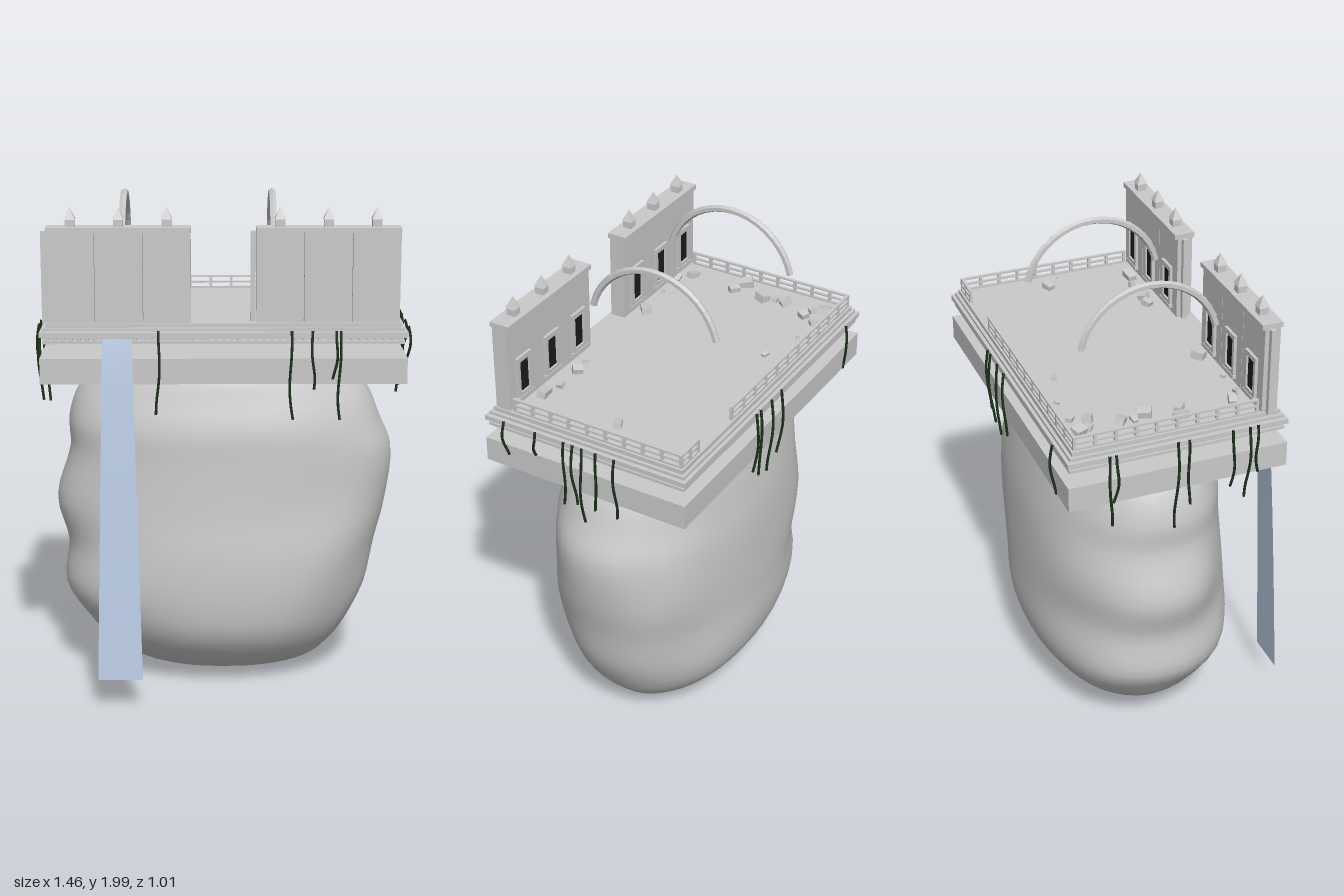
import * as THREE from 'three';

const mat = (name, color, side = THREE.FrontSide) => {
  const m = new THREE.MeshStandardMaterial({ color, side });
  m.name = name;
  return m;
};

const CZ = -0.047; // depth centre of the platform and rock

export function createModel() {
  const root = new THREE.Group();
  root.name = 'floatingTerrace';
  const stone = mat('stoneGrey', 0xcacaca);
  const dark = mat('windowDark', 0x1c1c1c);
  const green = mat('vineGreen', 0x1e331c);
  const water = mat('waterBlue', 0xbfd1ea, THREE.DoubleSide);

  const group = (name, parent = root) => {
    const g = new THREE.Group();
    g.name = name;
    parent.add(g);
    return g;
  };
  const add = (parent, name, geo, material, x = 0, y = 0, z = 0) => {
    const m = new THREE.Mesh(geo, material);
    m.name = name;
    m.position.set(x, y, z);
    parent.add(m);
    return m;
  };
  const box = (parent, name, w, h, d, x, y, z, material = stone) =>
    add(parent, name, new THREE.BoxGeometry(w, h, d), material, x, y, z);
  const faceted = geo => {
    const g = geo.toNonIndexed();
    g.computeVertexNormals();
    return g;
  };

  // Rock: stacked rounded sections through [y, left, right, back, front]
  const rows = [
    [0.008, 0, 0, 0, 0], [0.02, 0.2, 0.2, 0.1, 0.1], [0.06, 0.35, 0.36, 0.195, 0.215],
    [0.14, 0.48, 0.455, 0.285, 0.312], [0.25, 0.575, 0.53, 0.365, 0.385], [0.38, 0.655, 0.59, 0.4, 0.41],
    [0.56, 0.642, 0.627, 0.405, 0.41], [0.74, 0.685, 0.67, 0.405, 0.39], [0.95, 0.628, 0.69, 0.4, 0.377],
    [1.08, 0.63, 0.64, 0.385, 0.37], [1.2, 0.59, 0.59, 0.365, 0.335], [1.3, 0.5, 0.5, 0.335, 0.297],
    [1.35, 0.36, 0.36, 0.23, 0.21], [1.36, 0, 0, 0, 0],
  ];
  const curveX = new THREE.CatmullRomCurve3(rows.map(r => new THREE.Vector3(r[0], r[1], r[2])));
  const curveZ = new THREE.CatmullRomCurve3(rows.map(r => new THREE.Vector3(r[0], r[3], r[4])));
  const NV = 52, NU = 48, pos = [], idx = [];
  const soft = v => Math.sign(v) * Math.abs(v) ** 0.92;
  for (let i = 0; i <= NV; i++) {
    const a = curveX.getPoint(i / NV), b = curveZ.getPoint(i / NV);
    for (let j = 0; j < NU; j++) {
      const t = j / NU * Math.PI * 2, c = Math.cos(t), s = Math.sin(t);
      const bump = 1 + 0.022 * Math.sin(2 * t) ** 2 * Math.sin(a.x * 9 + t * 3) * Math.cos(t * 2 - a.x * 3);
      pos.push(soft(c) * (c > 0 ? a.z : a.y) * bump, a.x, CZ + soft(s) * (s > 0 ? b.z : b.y) * bump);
      if (i === NV) continue;
      const k = (j + 1) % NU, p = i * NU, q = p + NU;
      idx.push(p + j, q + j, p + k, q + j, q + k, p + k);
    }
  }
  const rockGeo = new THREE.BufferGeometry();
  rockGeo.setAttribute('position', new THREE.Float32BufferAttribute(pos, 3));
  rockGeo.setIndex(idx);
  rockGeo.computeVertexNormals();
  add(root, 'rock', rockGeo, stone);

  // Base slab, and the stepped terrace floor hovering above it
  box(root, 'baseSlab', 1.412, 0.1, 0.87, 0, 1.35, CZ);
  const terrace = group('terrace');
  box(terrace, 'floorBand', 1.36, 0.018, 0.82, 0, 1.524, CZ);
  box(terrace, 'upperBand', 1.385, 0.012, 0.845, 0, 1.51, CZ);
  box(terrace, 'middleBand', 1.412, 0.02, 0.87, 0, 1.491, CZ);
  box(terrace, 'lowerBand', 1.39, 0.012, 0.85, 0, 1.461, CZ);
  box(terrace, 'core', 1.34, 0.07, 0.8, 0, 1.49, CZ);
  for (let i = 0; i <= 44; i++)
    for (const s of [-1, 1]) box(terrace, 'dentil', 0.015, 0.016, 0.02, -0.68 + i * 1.36 / 44, 1.474, CZ + s * 0.408);
  for (let i = 1; i < 27; i++)
    for (const s of [-1, 1]) box(terrace, 'dentil', 0.02, 0.016, 0.015, s * 0.678, 1.474, CZ - 0.41 + i * 0.82 / 27);

  // Railings with three bars and evenly spaced posts
  const rail = (x0, z0, x1, z1) => {
    const g = group('railing');
    const w = Math.abs(x1 - x0) + 0.012, d = Math.abs(z1 - z0) + 0.012;
    for (const y of [1.537, 1.56, 1.584]) box(g, 'railBar', w, 0.008, d, (x0 + x1) / 2, y, (z0 + z1) / 2);
    const n = Math.max(2, Math.round(Math.max(w, d) / 0.085));
    for (let i = 0; i <= n; i++)
      box(g, 'railPost', 0.012, 0.055, 0.012, x0 + (x1 - x0) * i / n, 1.558, z0 + (z1 - z0) * i / n);
  };
  rail(-0.665, -0.443, 0.3, -0.443);
  rail(0.55, -0.443, 0.665, -0.443);
  for (const s of [-1, 1]) rail(s * 0.665, -0.443, s * 0.665, 0.275);

  // Front walls: three panels each, with caps, finials and inward windows
  for (const s of [-1, 1]) {
    const wall = group(s < 0 ? 'rightWall' : 'leftWall');
    box(wall, 'endPilaster', 0.02, 0.35, 0.02, s * 0.4 - 0.287, 1.705, 0.316);
    for (let i = -1; i <= 1; i++) {
      const x = s * 0.4 + i * 0.184;
      box(wall, 'panel', 0.182, 0.353, 0.062, x, 1.707, 0.321);
      box(wall, 'cap', 0.184, 0.02, 0.082, x, 1.888, 0.319);
      box(wall, 'finialBase', 0.036, 0.03, 0.036, x, 1.912, 0.318);
      const tip = add(wall, 'finialTip', faceted(new THREE.ConeGeometry(0.03, 0.045, 4)), stone, x, 1.949, 0.318);
      tip.rotation.y = Math.PI / 4;
      // Window frame, pane and sill
      for (const e of [-1, 1]) {
        box(wall, 'windowJamb', 0.016, 0.17, 0.012, x + e * 0.037, 1.65, 0.284);
        box(wall, 'windowLintel', 0.09, 0.02, 0.012, x, 1.65 + e * 0.076, 0.284);
      }
      box(wall, 'windowPane', 0.058, 0.132, 0.004, x, 1.65, 0.288, dark);
      box(wall, 'windowSill', 0.1, 0.014, 0.016, x, 1.562, 0.283);
    }
  }

  // Broken arches spanning front to back
  const lowEnd = 0.235;
  for (const x of [-0.393, 0.195]) {
    const geo = faceted(new THREE.TorusGeometry(0.276, 0.0145, 6, 18, Math.PI - 2 * lowEnd));
    geo.rotateZ(lowEnd);
    geo.rotateY(Math.PI / 2);
    const arch = group('arch');
    add(arch, 'archRing', geo, stone, x, 1.71, -0.045);
    for (const e of [-1, 1]) {
      const end = add(arch, 'archEnd', new THREE.CircleGeometry(0.0145, 6), stone,
        x, 1.71 + 0.276 * Math.sin(lowEnd), -0.045 + e * 0.276 * Math.cos(lowEnd));
      end.rotation.x = Math.PI / 2 - e * lowEnd;
    }
  }

  // Fallen blocks: [x, z, width, depth, turn]
  const rubble = group('rubble');
  [
    [-0.57, -0.39, 0.04, 0.05, 0.4], [-0.553, -0.345, 0.025, 0.03, 0.9], [-0.5, -0.33, 0.035, 0.035, -0.5],
    [-0.47, -0.388, 0.03, 0.025, -0.7], [-0.337, -0.39, 0.018, 0.014, 0.6], [-0.16, -0.337, 0.03, 0.018, -0.2],
    [-0.553, -0.22, 0.045, 0.035, -0.7], [-0.557, -0.17, 0.035, 0.02, 0.1], [-0.54, -0.12, 0.04, 0.05, -0.4],
    [-0.608, -0.005, 0.04, 0.06, 0.5], [-0.545, 0.015, 0.045, 0.03, -0.7], [-0.565, 0.222, 0.05, 0.03, -0.3],
    [-0.212, 0.24, 0.05, 0.04, 0.7], [-0.51, 0.265, 0.035, 0.02, 0.1], [-0.385, 0.265, 0.02, 0.015, 0.5],
    [0.267, 0.22, 0.04, 0.03, 0.6], [0.318, 0.225, 0.035, 0.04, 0.7], [0.44, 0.223, 0.025, 0.025, 0.1],
    [0.518, 0.243, 0.062, 0.035, 0.1], [0.553, -0.106, 0.045, 0.03, 0.4], [0.623, -0.04, 0.014, 0.01, -0.3],
  ].forEach(([x, z, w, d, turn], i) => {
    const b = box(rubble, 'fallenBlock', w, Math.min(w, d) * 0.8, d, x, 1.533 + Math.min(w, d) * 0.35, z);
    b.rotation.set(0.2 * Math.sin(i * 2.3), turn, 0.25 * Math.cos(i * 1.7));
  });

  // Waterfall: a widening sheet that arcs outward as it drops
  const fall = new THREE.PlaneGeometry(1, 1, 1, 16), fp = fall.attributes.position;
  for (let i = 0; i < fp.count; i++) {
    const t = 0.5 - fp.getY(i);
    fp.setXYZ(i, -0.406 + fp.getX(i) * (0.112 + 0.064 * t), 1.482 - 1.35 * t, 0.413 + 0.09 * t ** 0.7);
  }
  fall.computeVertexNormals();
  add(root, 'waterfall', fall, water);

  // Hanging vines: [position along the edge, lowest y]
  const vines = group('vines');
  const vine = (x, z, low, seed) => {
    const pts = [];
    const ox = Math.abs(x) > 0.7 ? Math.sign(x) : 0, oz = ox ? 0 : Math.sign(z);
    for (let i = 0; i <= 6; i++) {
      const t = i / 6, sway = 0.012 * Math.sin(t * 5 + seed * 1.9) * t, out = 0.01 * Math.sin(t * 4);
      pts.push(new THREE.Vector3(x + ox * out + oz * sway, 1.51 + (low - 1.51) * t, z + oz * out + ox * sway));
    }
    const geo = new THREE.TubeGeometry(new THREE.CatmullRomCurve3(pts), 14, 0.0055, 5);
    add(vines, 'vine', geo, green);
  };
  [[-0.25, 1.18], [0.26, 1.16], [0.34, 1.28], [0.43, 1.32], [0.447, 1.16]]
    .forEach(([x, y], i) => vine(x, 0.398, y, i));
  [[-0.565, 1.3], [-0.01, 1.22], [0.07, 1.18], [0.155, 1.2], [0.188, 1.24]]
    .forEach(([x, y], i) => vine(x, -0.49, y, i + 5));
  [[-0.325, 1.2], [-0.3, 1.3], [-0.06, 1.13], [-0.015, 1.22], [0.16, 1.26], [0.227, 1.2], [0.26, 1.3]]
    .forEach(([z, y], i) => vine(-0.715, z, y, i + 10));
  [[-0.19, 1.24], [-0.11, 1.24], [-0.05, 1.17], [-0.01, 1.24], [0.03, 1.22], [0.155, 1.4], [0.295, 1.36]]
    .forEach(([z, y], i) => vine(0.715, z, y, i + 17));

  return root;
}
